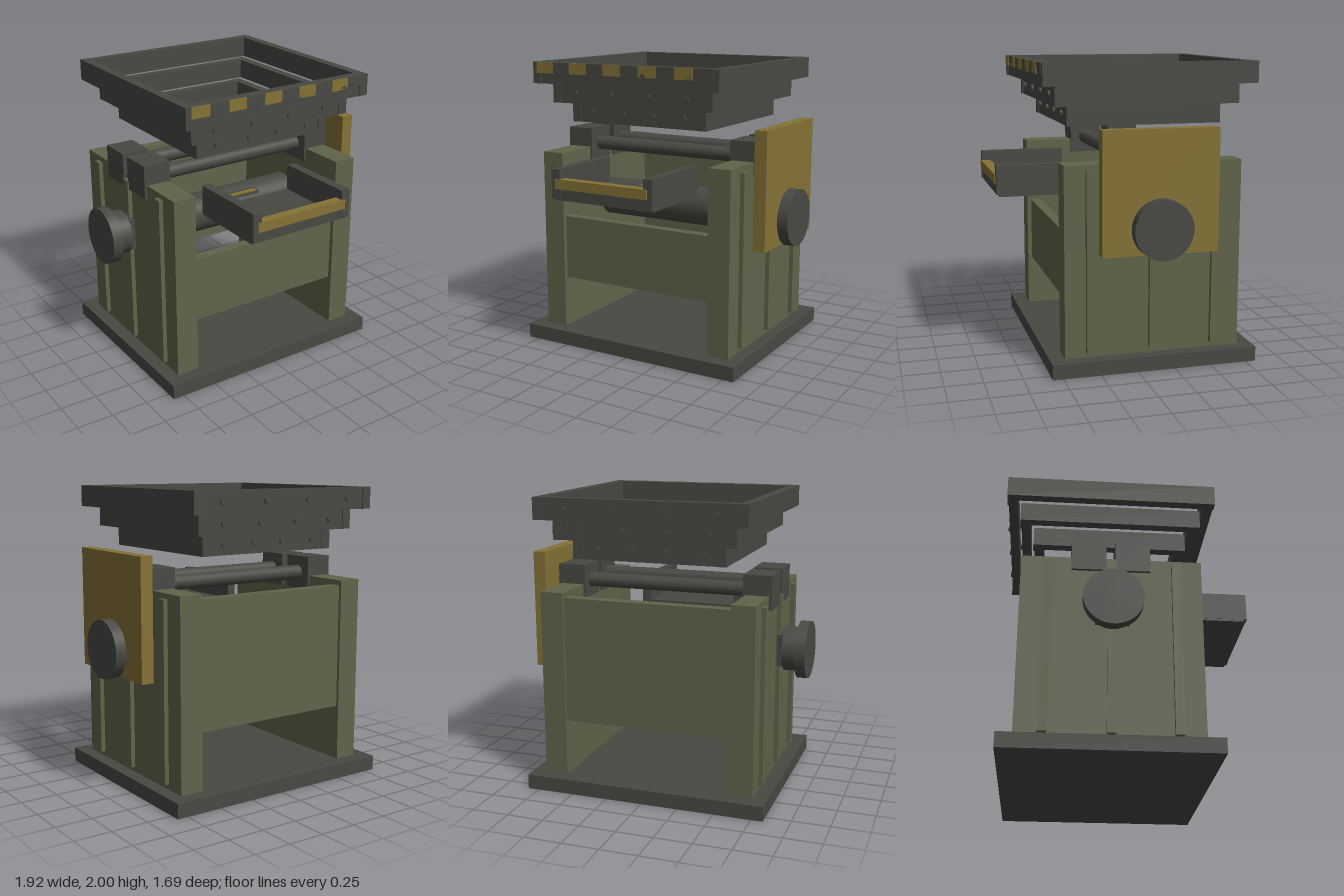
import * as THREE from 'three';

export function createModel() {
  const model = new THREE.Group();
  model.name = 'rollerMill';
  const mat = (name, color) => {
    const m = new THREE.MeshStandardMaterial({ color });
    m.name = name;
    return m;
  };
  const steel = mat('dark steel', 0x484943);
  const olive = mat('olive paint', 0x60644a);
  const yellow = mat('ochre paint', 0x857236);

  const add = (name, geo, material, parent = model) => {
    const mesh = new THREE.Mesh(geo, material);
    mesh.name = name;
    parent.add(mesh);
    return mesh;
  };
  // box given by its extents on each axis
  const box = (name, m, x0, x1, y0, y1, z0, z1, parent) => {
    const b = add(name, new THREE.BoxGeometry(x1 - x0, y1 - y0, z1 - z0), m, parent);
    b.position.set((x0 + x1) / 2, (y0 + y1) / 2, (z0 + z1) / 2);
    return b;
  };
  // cylinder lying along x
  const rod = (name, m, x0, x1, r, y, z, sides = 40, parent) => {
    const geo = new THREE.CylinderGeometry(r, r, x1 - x0, sides).rotateZ(Math.PI / 2);
    const c = add(name, geo, m, parent);
    c.position.set((x0 + x1) / 2, y, z);
    return c;
  };
  // rod with boxes spaced around it: fluted drums and gears
  const toothedRod = (name, m, x0, x1, core, outer, toothWidth, count, y, z) => {
    const g = new THREE.Group();
    g.name = name;
    g.position.set((x0 + x1) / 2, y, z);
    const half = (x1 - x0) / 2;
    rod(name + 'Core', m, -half, half, core, 0, 0, 32, g);
    const depth = outer - core + 0.02;
    for (let i = 0; i < count; i++) {
      const a = (i / count) * Math.PI * 2;
      const t = add(name + 'Tooth', new THREE.BoxGeometry(half * 2, depth, toothWidth), m, g);
      t.position.set(0, Math.cos(a) * (outer - depth / 2), Math.sin(a) * (outer - depth / 2));
      t.rotation.x = a;
    }
    return g;
  };

  const axisY = 0.965, axisZ = -0.125;
  const drumY = 1.385, drumZ = [-0.275, 0.015];

  // base and housing
  box('basePlate', steel, -0.83, 0.825, 0, 0.1, -0.82, 0.57);
  for (const s of [-1, 1]) {
    const wall = box('sideWall', olive, -0.08, 0.08, 0.1, 1.365, -0.72, 0.47);
    wall.position.x = s * 0.655;
    for (const z of [-0.545, -0.12, 0.3]) {
      const rib = box('wallRib', olive, -0.02, 0.02, 0.135, 1.33, z - 0.03, z + 0.03);
      rib.position.x = s * 0.745;
    }
    // bearing blocks on top of the walls
    for (const z of drumZ) {
      const block = box('bearingBlock', steel, -0.0975, 0.0975, 1.27, 1.5, z - 0.115, z + 0.115);
      block.position.x = s * 0.6575;
    }
  }
  box('backPanel', olive, -0.575, 0.575, 0.48, 1.33, -0.7, -0.62);
  box('frontPanel', olive, -0.575, 0.575, 0.46, 0.91, 0.37, 0.44);

  // lower roller, scraper and the two fluted drums
  rod('lowerRoller', steel, -0.56, 0.56, 0.137, axisY, axisZ);
  box('scraper', steel, -0.22, 0.21, 1.08, 1.1, -0.02, 0.06);
  box('scraperEdge', yellow, -0.2, 0.19, 1.1, 1.107, 0.02, 0.06);
  drumZ.forEach((z) => {
    toothedRod('flutedDrum', steel, -0.56, 0.55, 0.135, 0.165, 0.03, 14, drumY, z);
    rod('drumShaft', steel, -0.6, 0.79, 0.05, drumY, z, 20);
  });

  // gear train, cover and right knob
  toothedRod('mainGear', yellow, 0.755, 0.825, 0.235, 0.28, 0.05, 20, axisY, axisZ).rotation.x = Math.PI;
  drumZ.forEach((z) => toothedRod('drumGear', steel, 0.755, 0.8, 0.125, 0.165, 0.035, 12, drumY, z));
  box('gearCover', yellow, 0.8, 0.885, 0.795, 1.597, -0.51, 0.26);
  rod('rightKnob', steel, 0.885, 0.96, 0.195, axisY, axisZ);

  // stepped left knob
  box('knobPlate', steel, -0.805, -0.76, 0.86, 1.075, -0.23, -0.015);
  rod('knobHub', steel, -0.9, -0.8, 0.15, axisY, axisZ);
  rod('leftKnob', steel, -0.965, -0.895, 0.193, axisY, axisZ);

  // front tray
  box('trayFloor', steel, -0.385, 0.38, 1.12, 1.15, 0.25, 0.82);
  for (const x of [-0.355, 0.35]) box('traySide', steel, x - 0.032, x + 0.032, 1.135, 1.33, 0.25, 0.84);
  box('trayFront', steel, -0.33, 0.33, 1.13, 1.2, 0.78, 0.835);
  box('trayHandle', yellow, -0.355, 0.345, 1.2, 1.265, 0.78, 0.847);

  // stepped hopper: three open frames with rivets
  const frames = [
    { w: 0.71, y0: 1.855, y1: 2.0, z0: -0.83, z1: 0.585, rivetY: 1.93, xs: [-0.505, -0.17, 0.165, 0.5] },
    { w: 0.617, y0: 1.72, y1: 1.855, z0: -0.737, z1: 0.49, rivetY: 1.79, xs: [-0.435, -0.15, 0.14, 0.425] },
    { w: 0.522, y0: 1.585, y1: 1.72, z0: -0.642, z1: 0.395, rivetY: 1.655, xs: [-0.365, -0.11, 0.115, 0.355] },
  ];
  const t = 0.065;
  for (const f of frames) {
    const g = new THREE.Group();
    g.name = 'hopperFrame';
    model.add(g);
    for (const s of [-1, 1]) {
      const side = box('frameSide', steel, -t / 2, t / 2, f.y0, f.y1, f.z0 - 0.007, f.z1 + 0.007, g);
      side.position.x = s * (f.w - t / 2);
    }
    const inner = f.w - t;
    box('frameFront', steel, -inner, inner, f.y0, f.y1, f.z1 - t, f.z1, g);
    box('frameBack', steel, -inner, inner, f.y0, f.y1, f.z0, f.z0 + t, g);
    for (const x of f.xs) {
      for (const z of [f.z0, f.z1]) {
        const geo = new THREE.CylinderGeometry(0.022, 0.022, 0.03, 8).rotateX(Math.PI / 2);
        add('rivet', geo, steel, g).position.set(x, f.rivetY, z);
      }
    }
  }

  // striped bar on the hopper front
  box('stripeBar', steel, -0.675, 0.67, 1.927, 2.0, 0.58, 0.595);
  for (let i = 0; i < 5; i++) {
    const x = -0.675 + i * 0.2685;
    box('warningStripe', yellow, x, x + 0.132, 1.926, 2.001, 0.593, 0.6);
  }
  return model;
}
